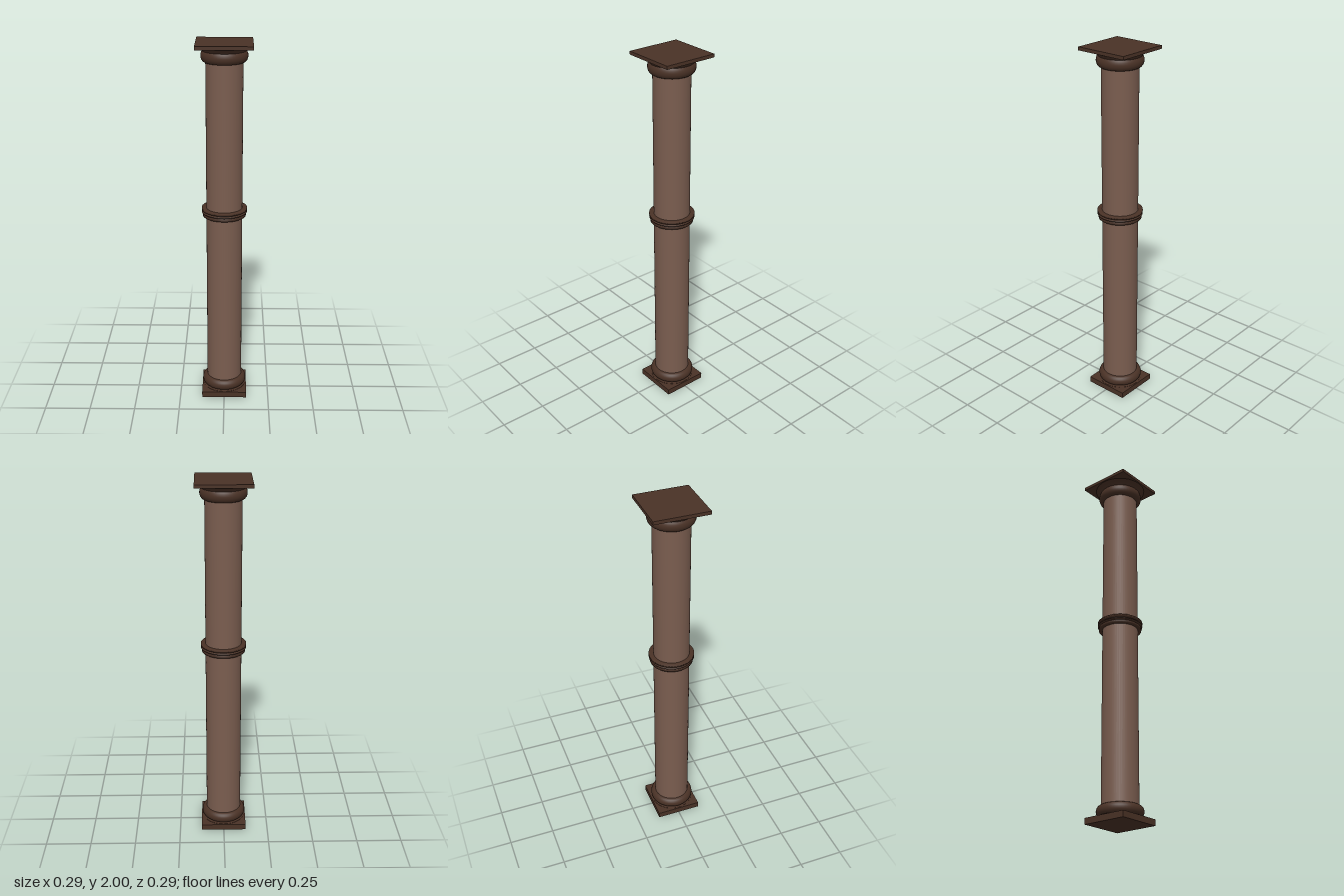
import * as THREE from 'three';

export function createModel() {
  const group = new THREE.Group();
  const shaftBrown = new THREE.MeshStandardMaterial({ color: 0x7a5d4f });
  shaftBrown.name = 'shaftBrown';
  const trimBrown = new THREE.MeshStandardMaterial({ color: 0x4a3226 });
  trimBrown.name = 'trimBrown';

  const add = (name, geometry, material, y = 0) => {
    const mesh = new THREE.Mesh(geometry, material);
    mesh.name = name;
    mesh.position.y = y;
    group.add(mesh);
  };
  const slab = (name, width, bottom, top) =>
    add(name, new THREE.BoxGeometry(width, top - bottom, width), trimBrown, (bottom + top) / 2);
  const turned = (name, points) =>
    add(name, new THREE.LatheGeometry(points.map(([r, y]) => new THREE.Vector2(r, y)), 48), trimBrown);
  // Half-round moulding profile, from bottom to top
  const bulge = (inner, outer, bottom, top) => {
    const points = [];
    for (let i = 0; i <= 10; i++) {
      const a = -Math.PI / 2 + (Math.PI * i) / 10;
      points.push([inner + (outer - inner) * Math.cos(a), (bottom + top) / 2 + ((top - bottom) / 2) * Math.sin(a)]);
    }
    return points;
  };

  // Plain round shaft
  add('shaft', new THREE.CylinderGeometry(0.097, 0.097, 1.9, 48, 1, true), shaftBrown, 1.0);

  // Base: square plinth and rounded cushion
  slab('plinth', 0.25, 0, 0.033);
  turned('baseCushion', [[0.119, 0.033], [0.119, 0.036], ...bulge(0.096, 0.122, 0.036, 0.096)]);

  // Middle band: two thin rings with a groove between
  turned('middleBand', [
    [0.096, 1.07], [0.116, 1.07], [0.116, 1.083], [0.111, 1.086],
    ...bulge(0.111, 0.122, 1.087, 1.099), [0.113, 1.102],
    [0.122, 1.104], [0.122, 1.115], [0.096, 1.115],
  ]);

  // Capital: rounded cushion, flared neck and square top slab
  turned('capitalCushion', bulge(0.096, 0.122, 1.898, 1.966));
  turned('capitalFlare', [[0.112, 1.955], [0.118, 1.963], [0.124, 1.97], [0.132, 1.977], [0.14, 1.982], [0.14, 1.986]]);
  slab('topSlab', 0.294, 1.982, 2);

  return group;
}
